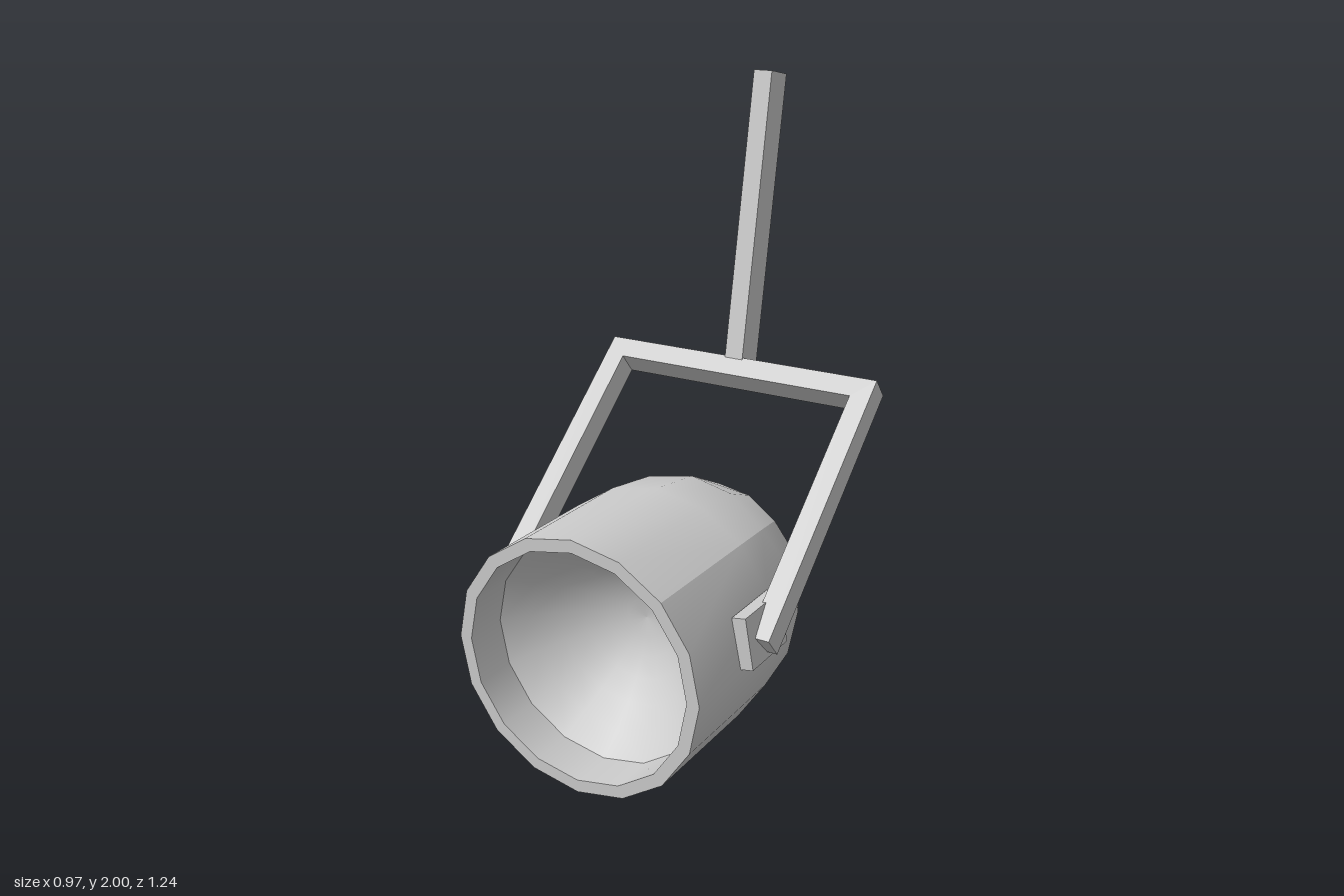
import * as THREE from 'three';

const RX = 0.417, RY = 0.407, CY = 0.409;   // housing radii and axis height
const FRONT = 0.62, SHOULDER = 0.17, DOME = 0.56;

// Housing shell: a box bent into a half sphere at the back and a tube at the front
function shellGeometry() {
  const g = new THREE.BoxGeometry(2, 2, 1.5, 4, 4, 3).translate(0, 0, -0.25);
  const front = g.groups[4];
  const index = Array.from(g.index.array);
  index.splice(front.start, front.count);   // leave the mouth open
  g.setIndex(index);
  g.clearGroups();
  const p = g.attributes.position, v = new THREE.Vector3();
  const warp = (a) => Math.tan(a * Math.PI / 4);
  for (let i = 0; i < p.count; i++) {
    const z = p.getZ(i), tube = z > 0.1;
    v.set(warp(p.getX(i)), warp(p.getY(i)), tube ? 0 : warp(z)).normalize();
    p.setXYZ(i, v.x * RX, v.y * RY, tube ? FRONT : SHOULDER + v.z * DOME);
  }
  g.computeVertexNormals();
  return g;
}

// Round part of the mouth, from [radius, z] pairs
function mouthGeometry(points) {
  const g = new THREE.LatheGeometry(points.map(([r, z]) => new THREE.Vector2(r, z)), 16);
  return g.rotateX(Math.PI / 2).scale(RX / RY, 1, 1);
}

export function createModel() {
  const model = new THREE.Group();
  const mat = new THREE.MeshStandardMaterial({ color: 0xcccccc });
  const thin = new THREE.MeshStandardMaterial({ color: 0xcccccc, side: THREE.DoubleSide });
  const add = (name, geometry, x, y, z, material = mat) => {
    const mesh = new THREE.Mesh(geometry, material);
    mesh.name = name;
    mesh.position.set(x, y, z);
    model.add(mesh);
    return mesh;
  };

  // Lamp housing with rim, inner wall and concave reflector
  const inner = 0.367, floor = 0.48;
  const bowl = [];
  for (let i = 0; i <= 6; i++) {
    const t = 1 - i / 6;
    bowl.push([inner * t, floor - 0.25 * (1 - t * t)]);
  }
  add('housing', shellGeometry(), 0.002, CY, 0, thin);
  add('rim', mouthGeometry([[RY, FRONT], [inner, FRONT]]), 0.002, CY, 0, thin);
  add('innerWall', mouthGeometry([[inner, FRONT], [inner, floor]]), 0.002, CY, 0, thin);
  add('reflector', mouthGeometry(bowl), 0.002, CY, 0, thin);

  // Pivot pads, tilted to lie on the housing sides
  for (const s of [1, -1]) {
    const pad = add(s > 0 ? 'leftPad' : 'rightPad',
      new THREE.BoxGeometry(0.045, 0.16, 0.213), s * 0.422, 0.497, 0.276);
    pad.rotation.z = s * 0.17;
  }

  // U-shaped yoke, leaning back from the pads
  const W = 0.487, I = 0.42, L = 0.913, T = 0.085;
  const u = new THREE.Shape([[-W, 0], [-I, 0], [-I, L - 0.07], [I, L - 0.07],
    [I, 0], [W, 0], [W, L], [-W, L]].map(([x, y]) => new THREE.Vector2(x, y)));
  const yokeGeometry = new THREE.ExtrudeGeometry(u, { depth: T, bevelEnabled: false });
  const yoke = add('yoke', yokeGeometry.translate(0, 0, -T / 2), 0, 0.473, 0.318);
  yoke.rotation.x = -0.866;

  // Hanging stem
  const stem = add('stem', new THREE.BoxGeometry(0.064, 0.995, 0.103), -0.019, 1.501, -0.474);
  stem.rotation.x = -0.187;

  return model;
}
